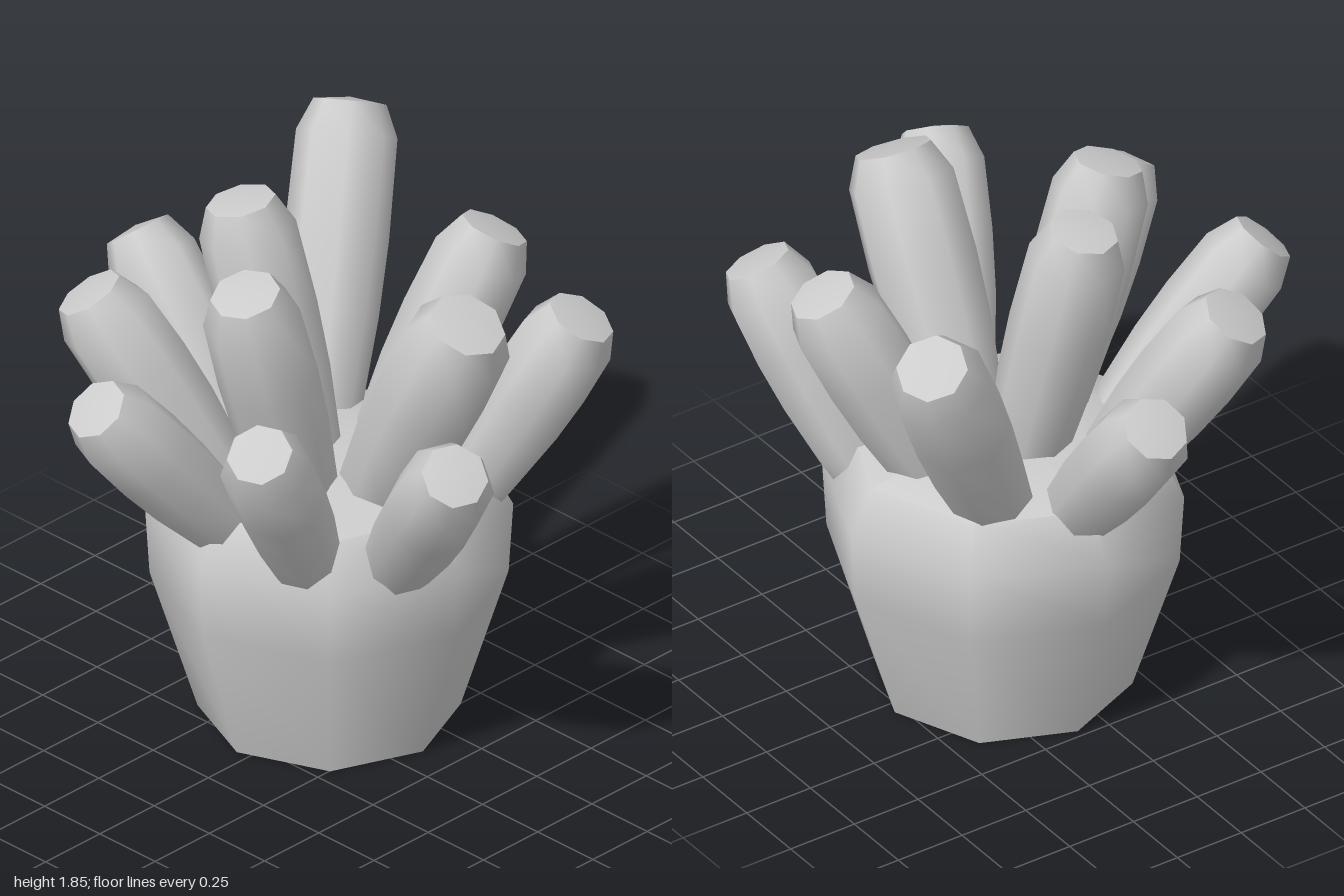
import * as THREE from 'three';
import { toCreasedNormals } from 'three/addons/utils/BufferGeometryUtils.js';

const SIDES = 8;
const UP = new THREE.Vector3(0, 1, 0);

// eight-sided turned surface from [radius, height] pairs, bottom to top
function turned(profile) {
  const points = profile.map(([r, y]) => new THREE.Vector2(r, y));
  return toCreasedNormals(new THREE.LatheGeometry(points, SIDES), 0.95);
}

// bulging stalk from its root to its blunt tip, sunk a little into the body
function makeTentacle(root, tip, radius, material) {
  const base = new THREE.Vector3(...root);
  const axis = new THREE.Vector3(...tip).sub(base);
  const len = axis.length();
  const mesh = new THREE.Mesh(turned([
    [radius * 0.7, -0.1],
    [radius * 0.8, 0],
    [radius * 0.95, len * 0.3],
    [radius, len * 0.55],
    [radius * 0.97, len - 0.12],
    [radius * 0.7, len - 0.015],
    [0, len],
  ]), material);
  mesh.position.copy(base);
  mesh.quaternion.setFromUnitVectors(UP, axis.normalize());
  return mesh;
}

export function createModel() {
  const model = new THREE.Group();
  model.name = 'anemone';
  const material = new THREE.MeshStandardMaterial({ color: 0xcccccc, side: THREE.DoubleSide });

  // pot-shaped body, open underneath
  const body = new THREE.Mesh(turned([
    [0.425, 0], [0.58, 0.5], [0.595, 0.75],
    [0.51, 0.91], [0.25, 0.965], [0, 0.975],
  ]), material);
  body.name = 'body';
  body.position.set(0.105, 0, -0.048);
  model.add(body);

  // root, tip, radius
  const tentacles = [
    // inner, upright
    [[0.08, 0.93, -0.15], [-0.02, 1.84, -0.33], 0.165],
    [[-0.10, 0.94, 0.01], [-0.365, 1.78, 0.03], 0.165],
    [[0.11, 0.92, 0.19], [0.10, 1.70, 0.59], 0.185],
    [[0.38, 0.92, -0.02], [0.705, 1.62, 0.12], 0.165],
    [[0.33, 0.92, -0.31], [0.775, 1.765, -0.61], 0.17],
    [[-0.17, 0.91, -0.33], [-0.41, 1.53, -0.64], 0.165],
    // outer, splayed
    [[0.09, 0.89, -0.48], [0.10, 1.44, -0.92], 0.158],
    [[-0.36, 0.89, -0.10], [-0.82, 1.44, -0.205], 0.155],
    [[-0.30, 0.86, 0.23], [-0.685, 1.465, 0.41], 0.155],
    [[-0.06, 0.84, 0.45], [-0.295, 1.43, 0.92], 0.158],
    [[0.48, 0.87, 0.28], [0.655, 1.485, 0.565], 0.165],
  ];
  const crown = new THREE.Group();
  crown.name = 'crown';
  tentacles.forEach(([root, tip, radius], i) => {
    const tentacle = makeTentacle(root, tip, radius, material);
    tentacle.name = `tentacle${i + 1}`;
    crown.add(tentacle);
  });
  model.add(crown);
  return model;
}
